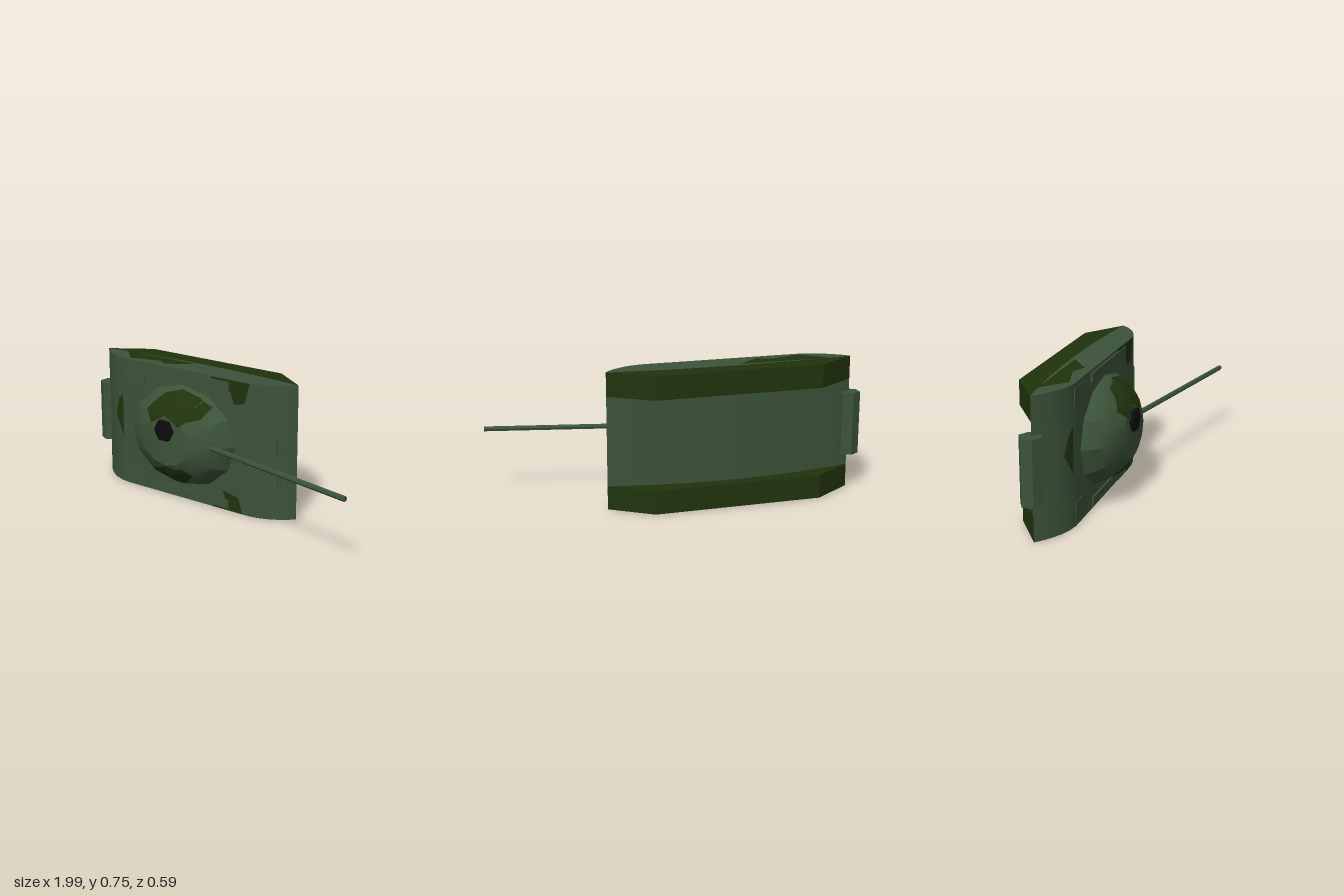
import * as THREE from 'three';
import { toCreasedNormals } from 'three/addons/utils/BufferGeometryUtils.js';

const W = 0.742, MID = W / 2, TRACK = 0.128;
const green = new THREE.MeshStandardMaterial({ color: 0x3c5339 });
const dark = new THREE.MeshStandardMaterial({ color: 0x20330d, side: THREE.DoubleSide });
const black = new THREE.MeshStandardMaterial({ color: 0x0c0c10 });

// Extrude an (x, z) outline across the width from y0 to y1
function slab(points, y0, y1, crease) {
  const shape = new THREE.Shape(points.map(([x, z]) => new THREE.Vector2(x, z)));
  const geo = new THREE.ExtrudeGeometry(shape, { depth: y1 - y0, bevelEnabled: false });
  geo.rotateX(Math.PI / 2).translate(0, y1, 0);
  return toCreasedNormals(geo, crease);
}

// Shallow arc from the rear tip to the front tip of the hull
function keel(depth) {
  const pts = [];
  for (let i = 0; i <= 16; i++) {
    const t = i / 16;
    pts.push([-0.94 + 1.36 * t, -0.145 - depth * 4 * t * (1 - t)]);
  }
  return pts;
}

// Lay a polygon outline over a surface, seen from +z
function drape(outline, target) {
  const ray = new THREE.Raycaster(), down = new THREE.Vector3(0, 0, -1);
  const cx = outline.reduce((s, p) => s + p[0], 0) / outline.length;
  const cy = outline.reduce((s, p) => s + p[1], 0) / outline.length;
  const rim = [];
  outline.forEach(([x, y], i) => {
    const [u, v] = outline[(i + 1) % outline.length];
    for (let k = 0; k < 4; k++) rim.push([x + (u - x) * k / 4, y + (v - y) * k / 4]);
  });
  const n = rim.length, rings = 6, pos = [], index = [];
  for (let r = 0; r <= rings; r++) {
    for (const [x, y] of rim) {
      const px = cx + (x - cx) * r / rings, py = cy + (y - cy) * r / rings;
      ray.set(new THREE.Vector3(px, py, 2), down);
      const hit = ray.intersectObject(target)[0];
      pos.push(px, py, (hit ? hit.point.z : -0.02) + 0.004);
    }
  }
  for (let r = 0; r < rings; r++) {
    for (let i = 0; i < n; i++) {
      const a = r * n + i, b = r * n + (i + 1) % n;
      if (r > 0) index.push(a, b + n, b);
      index.push(a, a + n, b + n);
    }
  }
  const geo = new THREE.BufferGeometry();
  geo.setAttribute('position', new THREE.Float32BufferAttribute(pos, 3));
  geo.setIndex(index);
  geo.computeVertexNormals();
  return geo;
}

export function createModel() {
  const model = new THREE.Group();
  const add = (name, geo, mat) => {
    const mesh = new THREE.Mesh(geo, mat);
    mesh.name = name;
    model.add(mesh);
    return mesh;
  };
  const box = (name, x0, x1, y0, y1, z0, z1) => add(name,
    new THREE.BoxGeometry(x1 - x0, y1 - y0, z1 - z0)
      .translate((x0 + x1) / 2, (y0 + y1) / 2, (z0 + z1) / 2), green);

  // Hull: rounded deck over a shallow keel, with a deeper belly between the tracks
  const deck = [[0.395, -0.112], [0.36, -0.083], [0.31, -0.052], [0.26, -0.032], [0.2, -0.02],
    [-0.69, -0.02], [-0.75, -0.03], [-0.81, -0.052], [-0.86, -0.08], [-0.905, -0.112]];
  const hull = add('hull', slab([...keel(0.04), ...deck], 0, W, 0.6), green);
  add('belly', slab(keel(0.08), TRACK, W - TRACK, 0.6), green);

  // Tracks
  const trackOutline = [[-0.72, -0.295], [0.2, -0.295], ...keel(0.04).reverse()];
  for (const y of [0, W - TRACK]) add('track', slab(trackOutline, y, y + TRACK, 0.3), dark);

  // Turret dome
  const profile = [[1, -0.025], [0.995, -0.02], [0.93, 0.02], [0.84, 0.06], [0.7, 0.1],
    [0.475, 0.137], [0, 0.137]].map(([r, h]) => new THREE.Vector2(r, h));
  const dome = new THREE.LatheGeometry(profile, 12).rotateX(Math.PI / 2)
    .scale(0.363, 0.288, 1).translate(-0.26, 0.372, 0);
  const turret = add('turret', toCreasedNormals(dome, 0.45), green);

  // Hatch
  const hatch = new THREE.CylinderGeometry(0.063, 0.063, 0.03, 6).rotateX(Math.PI / 2)
    .rotateZ(Math.PI / 2).translate(-0.26, 0.436, 0.142);
  add('hatch', toCreasedNormals(hatch, 0.3), black);

  // Gun barrel, raised towards its muzzle
  const from = new THREE.Vector3(-0.06, 0.372, 0.057), to = new THREE.Vector3(0.997, 0.372, 0.279);
  const gun = new THREE.CylinderGeometry(0.0145, 0.0145, from.distanceTo(to), 6);
  const barrel = add('gunBarrel', toCreasedNormals(gun, 0.3), green);
  barrel.position.copy(from).lerp(to, 0.5);
  barrel.quaternion.setFromUnitVectors(new THREE.Vector3(0, 1, 0), to.clone().sub(from).normalize());

  // Rear fuel drum
  const drum = new THREE.CylinderGeometry(0.06, 0.06, 0.347, 6).rotateY(Math.PI / 6)
    .rotateY(Math.PI / 3 * 0.5 + Math.PI / 6 + Math.PI / 6).translate(-0.94, 0.3715, -0.15);
  add('fuelDrum', toCreasedNormals(drum, 0.3), green);

  // Fender rails and deck covers on both sides
  for (const side of [-1, 1]) {
    const span = (a, b) => [MID + side * a, MID + side * b].sort((p, q) => p - q);
    box('fenderRail', -0.465, 0.06, ...span(0.309, 0.357), -0.04, -0.01);
    box('deckCover', -0.695, -0.55, ...span(0.244, 0.344), -0.045, -0.017);
  }

  // Plates on the front slope
  for (const [xa, za, xb, zb] of [[0.255, -0.03, 0.345, -0.073], [0.36, -0.083, 0.405, -0.123]]) {
    const plate = box('frontPlate', -0.5, 0.5, -0.182, 0.182, -0.006, 0.006);
    plate.scale.x = Math.hypot(xb - xa, zb - za);
    plate.position.set((xa + xb) / 2, MID, (za + zb) / 2);
    plate.rotation.y = -Math.atan2(zb - za, xb - xa);
  }

  // Camouflage patches on the turret and deck
  const turretPatches = [
    [[-0.42, 0.525], [-0.34, 0.615], [-0.24, 0.643], [-0.11, 0.615], [-0.035, 0.575], [-0.055, 0.52],
      [-0.125, 0.5], [-0.165, 0.468], [-0.22, 0.5], [-0.29, 0.525], [-0.355, 0.468]],
    [[-0.41, 0.17], [-0.26, 0.232], [-0.205, 0.215], [-0.15, 0.232], [-0.11, 0.19],
      [-0.205, 0.115], [-0.34, 0.115]],
  ];
  const deckPatches = [
    [[-0.07, 0.74], [0, 0.69], [0.07, 0.675], [0.095, 0.61], [0.165, 0.625], [0.2, 0.74]],
    [[-0.06, 0.002], [0.04, 0.055], [0.02, 0.11], [0.125, 0.09], [0.155, 0.002]],
    [[-0.79, 0.4], [-0.755, 0.5], [-0.718, 0.53], [-0.718, 0.28]],
  ];
  model.updateMatrixWorld(true);
  turretPatches.forEach(p => add('turretCamouflage', drape(p, turret), dark));
  deckPatches.forEach(p => add('deckCamouflage', drape(p, hull), dark));

  // Camouflage patches on the hull sides
  const upper = [[-0.8, -0.16], [-0.68, -0.05], [-0.5, -0.1], [-0.43, -0.065], [-0.31, -0.16]];
  const lower = [[-0.25, -0.165], [-0.17, -0.08], [-0.08, -0.11], [0, -0.06], [0.1, -0.165]];
  add('sideCamouflage', slab(upper, W - 0.01, W + 0.002, 0.3), dark);
  add('sideCamouflage', slab(lower, -0.002, 0.01, 0.3), dark);

  return model;
}
